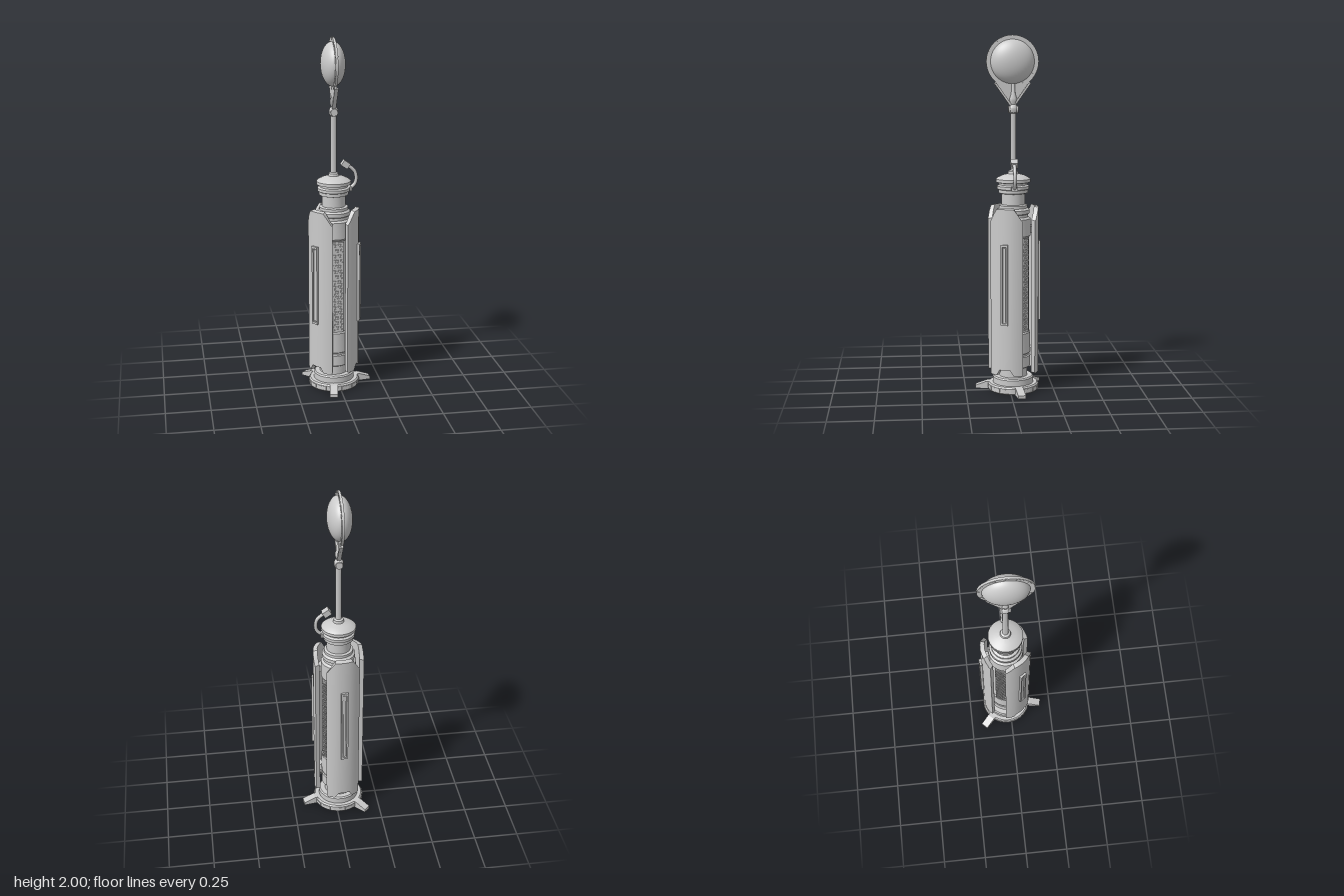
import * as THREE from 'three';
import { mergeGeometries, toCreasedNormals } from 'three/addons/utils/BufferGeometryUtils.js';

const AXIS = -0.022; // x and z of the main axis
const mat = new THREE.MeshStandardMaterial({ color: 0xcccccc, side: THREE.DoubleSide });
const rad = THREE.MathUtils.degToRad;

function add(parent, name, geo, x = 0, y = 0, z = 0) {
  const m = new THREE.Mesh(geo, mat);
  m.name = name;
  m.position.set(x, y, z);
  parent.add(m);
  return m;
}
const box = (w, h, d, x = 0, y = 0, z = 0) => new THREE.BoxGeometry(w, h, d).translate(x, y, z);
const lathe = (pts, n = 32) =>
  toCreasedNormals(new THREE.LatheGeometry(pts.map(p => new THREE.Vector2(...p)), n), 0.5);
const shapeOf = pts => new THREE.Shape(pts.map(p => new THREE.Vector2(...p)));
const extrude = (shape, depth, curveSegments = 24) => new THREE.ExtrudeGeometry(shape,
  { depth, bevelEnabled: false, curveSegments }).translate(0, 0, -depth / 2);

// Group whose local +x points outward at an angle from +x towards +z
function spoke(parent, name, deg) {
  const g = new THREE.Group();
  g.name = name;
  g.rotation.y = -rad(deg);
  parent.add(g);
  return g;
}

// Curved armour plate swept over columns of [angle, bottom, top]
function panelGeometry(rIn, rOut, columns) {
  const pos = [];
  const pt = (r, a, y) => [r * Math.cos(rad(a)), y, r * Math.sin(rad(a))];
  const quad = (a, b, c, d) => pos.push(...a, ...b, ...c, ...a, ...c, ...d);
  const cols = columns.map(([a, lo, hi]) => ({
    ob: pt(rOut, a, lo), ot: pt(rOut, a, hi - 0.006), ib: pt(rIn, a, lo), it: pt(rIn, a, hi),
  }));
  for (let i = 0; i < cols.length - 1; i++) {
    const p = cols[i], q = cols[i + 1];
    quad(q.ob, p.ob, p.ot, q.ot);
    quad(p.ib, q.ib, q.it, p.it);
    quad(p.ot, p.it, q.it, q.ot);
    quad(p.ib, p.ob, q.ob, q.ib);
  }
  const s = cols[0], e = cols[cols.length - 1];
  quad(s.ob, s.ib, s.it, s.ot);
  quad(e.ib, e.ob, e.ot, e.it);
  const g = new THREE.BufferGeometry();
  g.setAttribute('position', new THREE.Float32BufferAttribute(pos, 3));
  return toCreasedNormals(g, 0.35);
}

function buildBase(parent) {
  add(parent, 'baseDisc', lathe([[0, 0], [0.138, 0], [0.143, 0.006], [0.143, 0.034], [0.136, 0.042],
    [0.115, 0.042], [0.115, 0.075], [0.108, 0.082], [0.08, 0.082], [0.08, 0.11]]));
  const profile = shapeOf([[0.1, 0], [0.215, 0], [0.215, 0.018], [0.15, 0.042], [0.1, 0.042]]);
  for (const a of [-135, -9, 99]) add(spoke(parent, 'foot', a), 'footWedge', extrude(profile, 0.044));
  // raised rim plates between the feet
  for (const a of [18, 45, 72, 126, 153, 180, 207, 252, 279, 306, 333])
    add(spoke(parent, 'rim', a), 'rimPlate', box(0.008, 0.02, 0.045, 0.14, 0.021));
}

function buildCore(parent) {
  add(parent, 'coreColumn', lathe([[0.08, 0.1], [0.08, 0.13], [0.098, 0.14], [0.098, 0.2], [0.092, 0.205],
    [0.092, 0.215], [0.098, 0.22], [0.098, 0.335], [0.09, 0.345], [0.09, 0.88], [0.098, 0.89],
    [0.098, 0.985], [0.085, 0.995], [0.085, 1.01], [0.092, 1.015], [0.092, 1.035], [0.08, 1.045],
    [0.08, 1.06], [0.066, 1.065], [0.066, 1.13]]));
  add(parent, 'headCap', lathe([[0.066, 1.125], [0.082, 1.13], [0.082, 1.148], [0.09, 1.152], [0.09, 1.168],
    [0.078, 1.175], [0.078, 1.185], [0.096, 1.19], [0.096, 1.207], [0.085, 1.216], [0.06, 1.228],
    [0.03, 1.236], [0.027, 1.25], [0.015, 1.256]]));
  // grilles seen through the gaps between the plates
  for (const a of [84, 204, 324]) {
    const g = spoke(parent, 'grille', a);
    add(g, 'grilleBacking', box(0.012, 0.53, 0.064, 0.09, 0.61));
    const studs = [];
    for (let i = 0; i < 34; i++)
      for (let j = 0; j < 4; j++) {
        const z = (j - 1.5) * 0.014 + (i % 2 ? 0.0035 : -0.0035);
        studs.push(box(0.006, 0.008, 0.008, 0.098, 0.36 + i * 0.0152, z));
      }
    add(g, 'grilleStuds', mergeGeometries(studs));
  }
}

function buildPanels(parent) {
  const half = [[0, 0.14, 1.057], [13, 0.14, 1.057], [21, 0.108, 1.055], [30, 0.107, 1.025],
    [38, 0.107, 0.995], [42, 0.112, 0.985]];
  const columns = [...half.slice(1).reverse().map(([a, b, t]) => [-a, b, t]), ...half];
  const plate = panelGeometry(0.118, 0.143, columns);
  const frame = shapeOf([[-0.02, 0.4], [0.02, 0.4], [0.02, 0.855], [-0.02, 0.855]]);
  frame.holes.push(new THREE.Path([[-0.011, 0.412], [-0.011, 0.843], [0.011, 0.843], [0.011, 0.412]]
    .map(p => new THREE.Vector2(...p))));
  for (const a of [24, 144, 264]) {
    const g = spoke(parent, 'sidePanel', a);
    add(g, 'panelPlate', plate);
    add(g, 'panelFrame', extrude(frame, 0.018).rotateY(Math.PI / 2), 0.145);
    add(g, 'panelInsert', box(0.012, 0.42, 0.015, 0.143, 0.6275));
    for (const y of [0.22, 0.92]) add(g, 'panelStrut', box(0.04, 0.04, 0.05, 0.105, y));
  }
}

function buildMast(parent) {
  add(parent, 'mast', lathe([[0.016, 1.245], [0.016, 1.57], [0.022, 1.575], [0.026, 1.59], [0.026, 1.6],
    [0.02, 1.615], [0.014, 1.62], [0.02, 1.64], [0.02, 1.655], [0.012, 1.68], [0.009, 1.74]], 16));
  add(parent, 'mastPivot', new THREE.CylinderGeometry(0.02, 0.02, 0.056, 16).rotateX(Math.PI / 2), 0, 1.592, 0);
}

function buildDish(parent) {
  const dish = new THREE.Group();
  dish.name = 'dish';
  dish.position.set(-0.004, 1.855, 0.004);
  parent.add(dish);
  const ring = new THREE.Shape().absarc(0, 0, 0.145, 0, Math.PI * 2);
  ring.holes.push(new THREE.Path().absarc(0, 0, 0.115, 0, Math.PI * 2, true));
  add(dish, 'dishRing', toCreasedNormals(extrude(ring, 0.013).rotateY(-Math.PI / 2), 0.5));
  add(dish, 'dishLens', new THREE.SphereGeometry(1, 40, 28).scale(0.067, 0.122, 0.122));
  // raised blocks round the ring face
  for (let i = 0; i < 12; i++) {
    const b = add(dish, 'ringBlock', box(0.016, 0.012, 0.036, 0, 0.135));
    b.rotation.x = (i / 12) * Math.PI * 2;
  }
  // fan bracket and its edge ribs
  const fan = shapeOf([[-0.01, -0.25], [0.01, -0.25], [0.102, -0.12], [0.085, -0.098],
    [-0.085, -0.098], [-0.102, -0.12]]);
  add(dish, 'fanBracket', extrude(fan, 0.013).rotateY(-Math.PI / 2));
  for (const s of [-1, 1]) {
    const rib = add(dish, 'fanRib', box(0.014, 0.15, 0.012), 0.008, -0.182, s * 0.05);
    rib.rotation.x = s * 0.615;
  }
}

function buildCable(parent) {
  const path = new THREE.CatmullRomCurve3([[0.07, 1.16], [0.1, 1.167], [0.121, 1.19], [0.127, 1.22],
    [0.119, 1.255], [0.098, 1.278], [0.075, 1.293]].map(([x, y]) => new THREE.Vector3(x, y, 0)));
  add(parent, 'cable', new THREE.TubeGeometry(path, 28, 0.01, 10));
  const plug = add(parent, 'cablePlug', box(0.042, 0.034, 0.04), 0.066, 1.298, 0);
  plug.rotation.z = -0.6;
  add(parent, 'cableSocket', box(0.03, 0.024, 0.036), 0.085, 1.16, 0);
}

export function createModel() {
  const model = new THREE.Group();
  model.name = 'sensorMast';
  const body = new THREE.Group();
  body.name = 'body';
  body.position.set(AXIS, 0, AXIS);
  model.add(body);
  for (const build of [buildBase, buildCore, buildPanels, buildMast, buildDish, buildCable]) build(body);
  return model;
}
